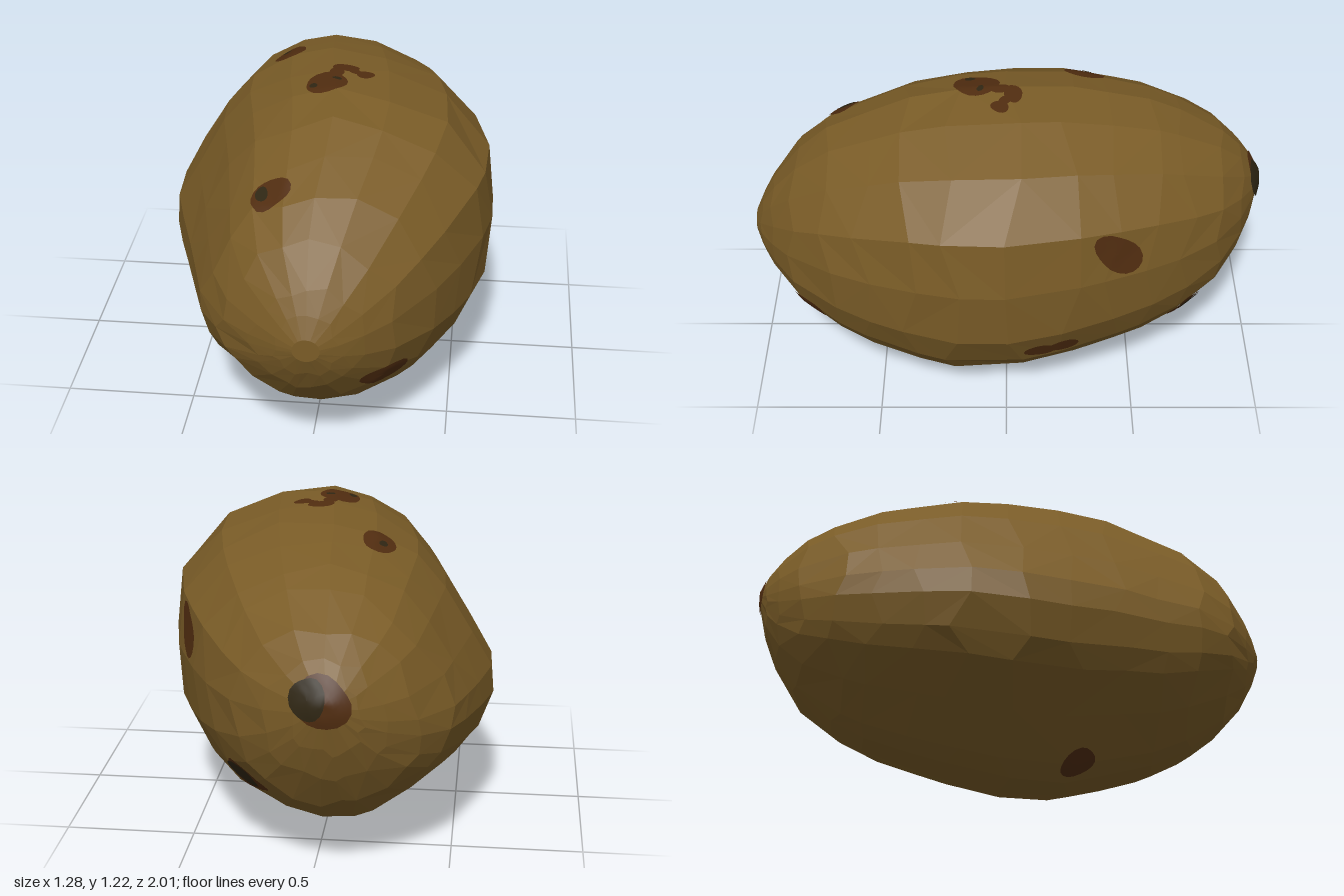
import * as THREE from 'three';

const named = (name, color) => Object.assign(new THREE.MeshStandardMaterial({ color }), { name });

// Outline of the fattest cross-section (x, y), counter-clockwise from the top
const OUTLINE = [
  [0, 1.22], [-0.17, 1.18], [-0.33, 1.09], [-0.44, 0.96], [-0.55, 0.78], [-0.635, 0.63], [-0.645, 0.52],
  [-0.6, 0.39], [-0.54, 0.31], [-0.38, 0.185], [-0.21, 0.05], [-0.12, 0.01], [0.04, 0], [0.23, 0.055],
  [0.43, 0.17], [0.54, 0.29], [0.625, 0.46], [0.645, 0.7], [0.62, 0.93], [0.45, 1.11], [0.22, 1.2],
].map(([x, y]) => [x / 0.645, (y - 0.61) / 0.61]);

// Extent of each cross-section from front to back: z, min x, max x, min y, max y
const SECTIONS = [
  [1, -0.04, 0.06, 0.54, 0.63], [0.97, -0.11, 0.13, 0.46, 0.7], [0.92, -0.2, 0.21, 0.37, 0.79],
  [0.83, -0.33, 0.33, 0.265, 0.91], [0.69, -0.42, 0.44, 0.16, 1.035], [0.54, -0.465, 0.52, 0.09, 1.11],
  [0.37, -0.52, 0.6, 0.045, 1.19], [0.2, -0.575, 0.64, 0, 1.22], [-0.03, -0.64, 0.64, 0, 1.215],
  [-0.24, -0.64, 0.595, 0.04, 1.2], [-0.4, -0.595, 0.535, 0.083, 1.165], [-0.55, -0.55, 0.47, 0.125, 1.13],
  [-0.69, -0.5, 0.39, 0.195, 1.065], [-0.83, -0.395, 0.28, 0.3, 0.985], [-0.92, -0.28, 0.16, 0.44, 0.9],
  [-0.97, -0.2, 0.06, 0.56, 0.83], [-1, -0.11, -0.03, 0.7, 0.77],
];

function seeded(seed) {
  return () => {
    seed = (seed * 16807) % 2147483647;
    return seed / 2147483647;
  };
}

// Linear lookup in the section table
function extentAt(z) {
  let i = 0;
  while (i < SECTIONS.length - 2 && SECTIONS[i + 1][0] > z) i++;
  const a = SECTIONS[i], b = SECTIONS[i + 1];
  const t = (z - a[0]) / (b[0] - a[0]);
  return a.map((v, k) => v + (b[k] - v) * t);
}

// Lumpy faceted skin lofted through the sections
function bodyGeometry() {
  const random = seeded(41);
  const n = OUTLINE.length, last = SECTIONS.length - 1;
  const pos = [], index = [];
  SECTIONS.forEach(([z0], i) => {
    const slack = i === 0 || i === last ? 0
      : Math.min(SECTIONS[i - 1][0] - z0, z0 - SECTIONS[i + 1][0]) * 0.5;
    OUTLINE.forEach(([u, v]) => {
      const z = z0 + (random() - 0.5) * slack;
      const [, x0, x1, y0, y1] = extentAt(z);
      const round = z * z, r = Math.hypot(u, v);
      const s = 1 - round + round / r; // rounder towards the ends
      pos.push((x0 + x1) / 2 + u * s * (x1 - x0) / 2, (y0 + y1) / 2 + v * s * (y1 - y0) / 2, z);
    });
  });
  for (let i = 0; i < last; i++) {
    for (let j = 0; j < n; j++) {
      const k = (j + 1) % n;
      const a = i * n + j, b = i * n + k, c = a + n, d = b + n;
      if (random() < 0.5) index.push(a, c, b, b, c, d);
      else index.push(a, c, d, a, d, b);
    }
  }
  // End caps
  [0, last].forEach((i) => {
    const [z, x0, x1, y0, y1] = SECTIONS[i];
    const centre = pos.length / 3;
    pos.push((x0 + x1) / 2, (y0 + y1) / 2, z);
    for (let j = 0; j < n; j++) {
      const a = i * n + j, b = i * n + (j + 1) % n;
      index.push(centre, i ? b : a, i ? a : b);
    }
  });
  const g = new THREE.BufferGeometry();
  g.setAttribute('position', new THREE.Float32BufferAttribute(pos, 3));
  g.setIndex(index);
  const flat = g.toNonIndexed();
  flat.computeVertexNormals();
  return flat;
}

// Side a patch is pressed on from: its across and up directions
const SIDES = {
  front: [[1, 0, 0], [0, 1, 0]],
  back: [[-1, 0, 0], [0, 1, 0]],
  right: [[0, 0, -1], [0, 1, 0]],
  top: [[1, 0, 0], [0, 0, -1]],
  bottom: [[1, 0, 0], [0, 0, 1]],
};

// Irregular oval patch draped over the skin
function patchGeometry(body, side, centre, ru, rv, tilt, lift, seed) {
  const [u, v] = SIDES[side].map((a) => new THREE.Vector3(...a));
  const out = u.clone().cross(v);
  const ray = new THREE.Raycaster();
  const phase = seeded(seed * 7919 + 13)() * 6.28;
  const rings = 5, n = 18, pos = [], index = [];
  for (let r = 0; r <= rings; r++) {
    for (let j = 0; j < n; j++) {
      const t = (j / n) * Math.PI * 2;
      const k = (r / rings) * (1 + 0.07 * Math.sin(2 * t + phase) + 0.05 * Math.sin(3 * t - phase));
      const p = Math.cos(t) * ru * k, q = Math.sin(t) * rv * k;
      const at = new THREE.Vector3(...centre)
        .addScaledVector(u, p * Math.cos(tilt) - q * Math.sin(tilt))
        .addScaledVector(v, p * Math.sin(tilt) + q * Math.cos(tilt));
      at.addScaledVector(out, 3 - at.dot(out));
      ray.set(at, out.clone().negate());
      const hit = ray.intersectObject(body)[0];
      if (hit) at.copy(hit.point).addScaledVector(hit.face.normal, lift);
      else at.set(...pos.slice(-3));
      pos.push(at.x, at.y, at.z);
      if (r < rings) {
        const a = r * n + j, b = r * n + (j + 1) % n;
        index.push(a, a + n, b + n, a, b + n, b);
      }
    }
  }
  const g = new THREE.BufferGeometry();
  g.setAttribute('position', new THREE.Float32BufferAttribute(pos, 3));
  g.setIndex(index);
  g.computeVertexNormals();
  return g;
}

// Eyes: side, centre, half sizes, tilt
const BROWN = [
  ['top', [-0.155, 0, 0.64], 0.07, 0.062, -0.5],
  ['front', [0.27, 0.38, 0], 0.078, 0.05, 0],
  ['bottom', [-0.16, 0, 0.24], 0.05, 0.07, 0.3],
  ['right', [0, 0.81, -0.415], 0.11, 0.065, -0.8],
  ['right', [0, 0.365, -0.13], 0.058, 0.042, 0],
  ['right', [0, 0.375, -0.22], 0.055, 0.042, 0.2],
  ['right', [0, 0.345, -0.69], 0.055, 0.04, 0],
  ['right', [0, 0.37, -0.725], 0.045, 0.055, 0],
  ['back', [-0.06, 0.76, 0], 0.1, 0.09, 0],
  ['top', [-0.195, 0, -0.3], 0.062, 0.077, -0.4],
  ['top', [-0.01, 0, 0.115], 0.083, 0.083, 0],
  ['top', [0.02, 0, 0.03], 0.03, 0.04, 0],
  ['top', [0.05, 0, -0.025], 0.055, 0.033, 0],
  ['top', [0.09, 0, 0.005], 0.035, 0.02, -0.8],
  ['top', [0.13, 0, 0.025], 0.035, 0.033, 0],
];
const DARK = [
  ['top', [-0.185, 0, 0.63], 0.022, 0.035, 0.5],
  ['right', [0, 0.375, -0.72], 0.042, 0.048, 0],
  ['back', [-0.01, 0.77, 0], 0.06, 0.075, 0],
  ['top', [-0.21, 0, -0.31], 0.013, 0.024, -0.4],
  ['top', [-0.055, 0, 0.14], 0.014, 0.022, 0.3],
  ['top', [0.03, 0, 0.1], 0.018, 0.012, -0.4],
];

export function createModel() {
  const group = new THREE.Group();
  group.name = 'potato';

  const body = new THREE.Mesh(bodyGeometry(), named('skin', 0x7a5c27));
  body.name = 'body';
  body.updateMatrixWorld();
  group.add(body);

  const addPatches = (list, name, material, lift) => list.forEach(([side, centre, ru, rv, tilt], i) => {
    const patch = new THREE.Mesh(patchGeometry(body, side, centre, ru, rv, tilt, lift, i + 1), material);
    patch.name = name + (i + 1);
    group.add(patch);
  });
  addPatches(BROWN, 'eyePatch', named('eye brown', 0x512d10), 0.005);
  addPatches(DARK, 'eyePit', named('pit dark', 0x2f2613), 0.009);
  return group;
}
